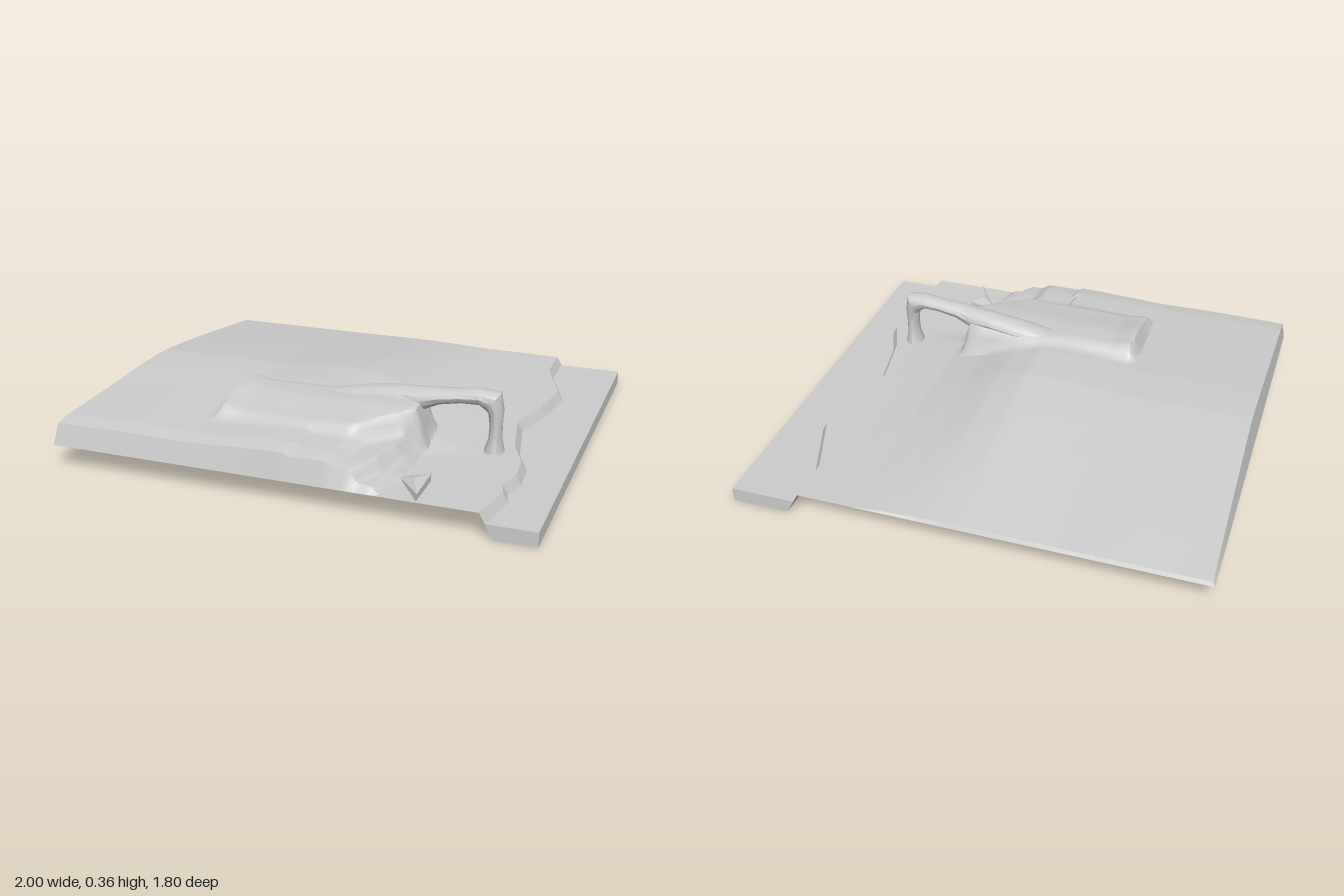
import * as THREE from 'three';
import { toCreasedNormals } from 'three/addons/utils/BufferGeometryUtils.js';
import { ConvexGeometry } from 'three/addons/geometries/ConvexGeometry.js';

const { lerp, smoothstep } = THREE.MathUtils;
const step = (a, b, t) => smoothstep(t, a, b);

// piecewise linear curve through [position, value] pairs
function along(points, t) {
  if (t <= points[0][0]) return points[0][1];
  for (let i = 1; i < points.length; i++) {
    const [a, p] = points[i - 1], [b, q] = points[i];
    if (t <= b) return lerp(p, q, (t - a) / (b - a));
  }
  return points[points.length - 1][1];
}

const GROUND = 0.1, WATER = 0.06;
const SHORE = [[-0.9, 0.7], [-0.7, 0.7], [-0.42, 0.8], [-0.2, 0.77], [0, 0.71], [0.26, 0.76],
  [0.4, 0.82], [0.54, 0.83], [0.64, 0.8], [0.7, 0.82], [0.9, 0.78]];
const HILL_Z = [[-0.9, 0.015], [-0.7, 0.05], [-0.4, 0.1], [-0.2, 0.13], [0, 0.155], [0.2, 0.155],
  [0.4, 0.14], [0.6, 0.13], [0.8, 0.12], [0.9, 0.1]];
const HILL_X = [[-1, 0.82], [-0.65, 0.88], [-0.4, 0.85], [-0.1, 0.98], [0.02, 1], [0.15, 0.8],
  [0.3, 0.42], [0.45, 0.14], [0.6, 0.03], [0.7, 0]];
const BLUFF_END = [[0.3, 0.4], [0.45, 0.41], [0.52, 0.32], [0.64, 0.2], [0.75, 0.17]];
const TERRACE_1 = [[0.6, 0.38], [0.75, 0.34], [0.9, 0.27]];
const TERRACE_2 = [[0.45, 0.42], [0.7, 0.42], [0.9, 0.37]];

function height(x, z) {
  // smooth hill behind, stepped terraces at the front
  const slope = along(HILL_X, x);
  const bluffEnd = along(BLUFF_END, z);
  const t1 = along(TERRACE_1, z), t2 = along(TERRACE_2, z);
  const terraces = 0.9
    - 0.25 * step(bluffEnd, bluffEnd + 0.06, x)
    - 0.4 * step(t1 - 0.015, t1 + 0.025, x)
    - 0.25 * step(t2 - 0.015, t2 + 0.02, x);
  const profile = lerp(slope, x < 0.02 ? slope : Math.min(terraces, 1), step(0.33, 0.46, z));
  const hill = GROUND + along(HILL_Z, z) * profile;
  // raised bluff that leads to the arch
  const back = lerp(0.25, 0.21, step(-0.1, 0.1, x));
  const mask = step(-0.41, -0.37, x) * step(back, back + 0.07, z)
    * (1 - step(0.62, 0.67, z)) * (1 - step(bluffEnd - 0.02, bluffEnd + 0.035, x));
  const top = along([[-0.4, 0.297], [-0.28, 0.275], [0, 0.275], [0.2, 0.285]], x) - 0.03 * step(0.4, 0.65, z);
  return Math.max(hill, lerp(hill, top, mask));
}

// grid surface from a function of u, v
function sheet(nu, nv, fn) {
  const pos = [], index = [];
  for (let j = 0; j <= nv; j++) for (let i = 0; i <= nu; i++) pos.push(...fn(i / nu, j / nv));
  for (let j = 0; j < nv; j++) for (let i = 0; i < nu; i++) {
    const a = j * (nu + 1) + i, b = a + nu + 1;
    index.push(a, b, a + 1, a + 1, b, b + 1);
  }
  const g = new THREE.BufferGeometry();
  g.setAttribute('position', new THREE.Float32BufferAttribute(pos, 3));
  g.setIndex(index);
  return toCreasedNormals(g, 0.6);
}

const topPoint = (u, v) => {
  const z0 = -0.9 + 1.8 * v;
  const x = lerp(-0.978 - 0.012 * Math.abs(z0), along(SHORE, z0), u);
  const z = lerp(lerp(-0.89, 0.872, v), z0, step(0.3, 0.5, x));
  return [x, height(x, z), z];
};
const basePoint = (u, v) => {
  const z = -0.9 + 1.8 * v;
  return [lerp(-1, along(SHORE, z), u), GROUND, z];
};
const between = (p, q, t) => p.map((c, i) => lerp(c, q[i], t));

export function createModel() {
  const model = new THREE.Group();
  const material = new THREE.MeshStandardMaterial({ color: 0xcccccc, side: THREE.DoubleSide });
  const add = (name, geometry) => {
    const mesh = new THREE.Mesh(geometry, material);
    mesh.name = name;
    model.add(mesh);
  };

  // land surface and its slanted rims, open underneath
  add('land', sheet(110, 90, topPoint));
  add('rightRim', sheet(90, 1, (u, v) => between(topPoint(0, u), basePoint(0, u), v)));
  add('frontRim', sheet(110, 1, (u, v) => between(topPoint(u, 1), basePoint(u, 1), v)));
  add('backRim', sheet(110, 1, (u, v) => between(basePoint(u, 0), topPoint(u, 0), v)));

  // sloping shore bank
  add('shoreBank', sheet(1, 90, (u, v) => {
    const [x, y, z] = basePoint(1, v);
    return [x + 0.022 * u, lerp(y, WATER, u), z];
  }));

  // water slab, its shore side continuing the slope of the bank
  const outline = SHORE.map(([z, x]) => new THREE.Vector2(x + 0.055, -z));
  outline.push(new THREE.Vector2(1, -0.9), new THREE.Vector2(1, 0.9));
  const water = new THREE.ExtrudeGeometry(new THREE.Shape(outline), { depth: WATER, bevelEnabled: false });
  water.rotateX(-Math.PI / 2);
  const p = water.attributes.position;
  for (let i = 0; i < p.count; i++) {
    if (p.getY(i) > 0.03 && p.getX(i) < 0.99) p.setX(i, p.getX(i) - 0.033);
  }
  water.computeVertexNormals();
  add('water', water);

  // rock arch: x, y, z, direction in degrees, thickness radius, width radius
  const rings = [
    [0, 0.25, 0.325, 8, 0.025, 0.06],
    [0.15, 0.265, 0.32, 8, 0.042, 0.065],
    [0.3, 0.285, 0.325, 8, 0.042, 0.06],
    [0.38, 0.283, 0.33, 12, 0.05, 0.055],
    [0.46, 0.306, 0.335, 10, 0.034, 0.05],
    [0.55, 0.318, 0.335, 6, 0.029, 0.045],
    [0.63, 0.325, 0.335, 0, 0.034, 0.046],
    [0.682, 0.312, 0.335, -40, 0.05, 0.048],
    [0.695, 0.27, 0.335, -82, 0.032, 0.042],
    [0.697, 0.21, 0.335, -90, 0.026, 0.038],
    [0.695, 0.15, 0.335, -90, 0.028, 0.042],
    [0.692, GROUND, 0.335, -90, 0.042, 0.054],
  ];
  add('arch', sheet(12, rings.length - 1, (u, v) => {
    const [x, y, z, deg, r, w] = rings[Math.round(v * (rings.length - 1))];
    const d = deg * Math.PI / 180, a = -u * Math.PI * 2;
    const s = r * Math.cos(a);
    return [x - Math.sin(d) * s, y + Math.cos(d) * s, z + w * Math.sin(a)];
  }));

  // small wedge of rock on the beach
  add('beachRock', toCreasedNormals(new ConvexGeometry([
    [0.54, 0.13, 0.7], [0.54, 0.125, 0.88], [0.49, 0.13, 0.76],
    [0.41, GROUND, 0.7], [0.54, GROUND, 0.7], [0.54, GROUND, 0.89],
  ].map((c) => new THREE.Vector3(...c))), 0.1));

  return model;
}
